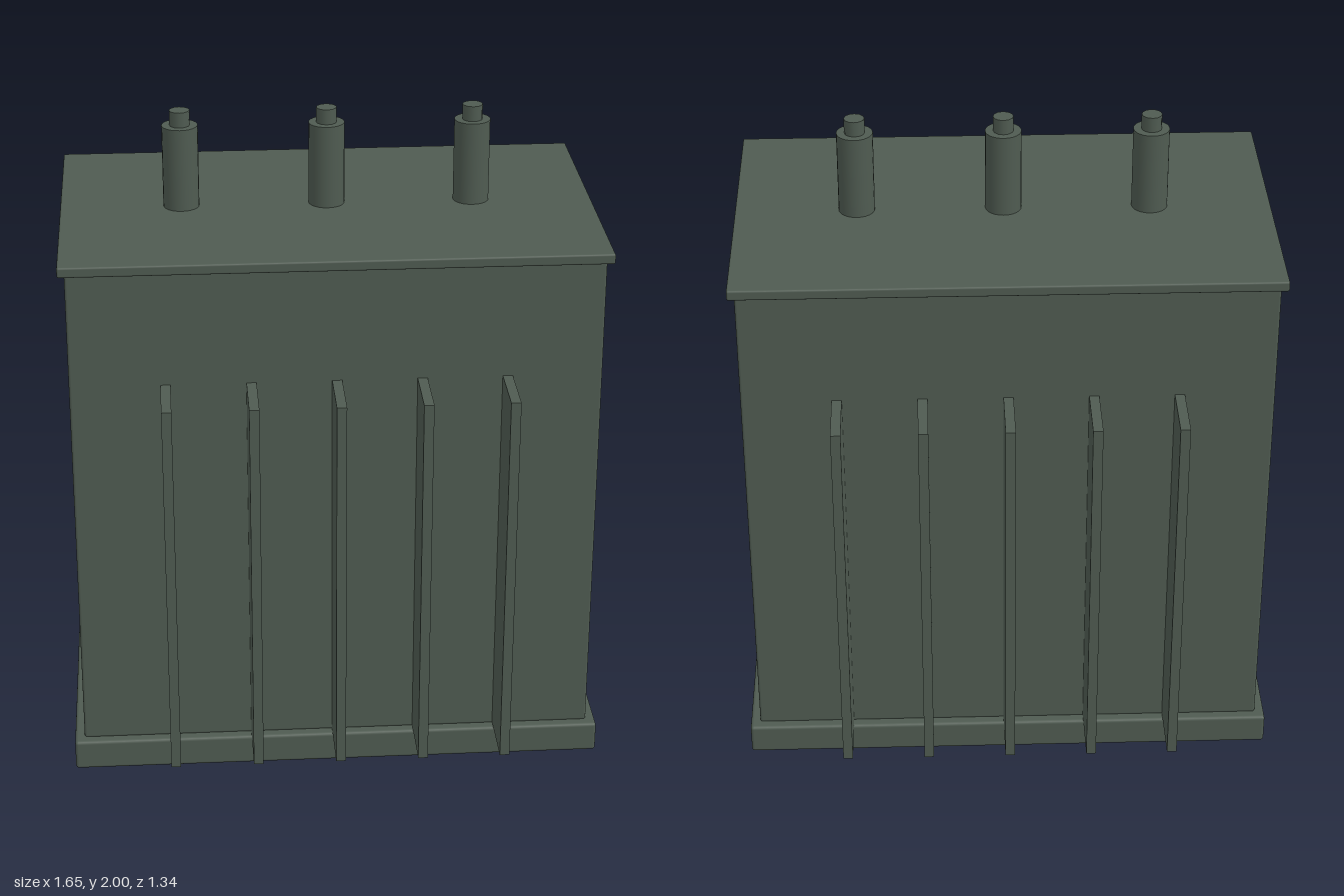
import * as THREE from 'three';
import { RoundedBoxGeometry } from 'three/addons/geometries/RoundedBoxGeometry.js';

export function createModel() {
  const group = new THREE.Group();
  group.name = 'transformer';
  const paint = new THREE.MeshStandardMaterial({ color: 0x4f5b51 });
  paint.name = 'grey green paint';

  const add = (name, geometry, x, y, z) => {
    const mesh = new THREE.Mesh(geometry, paint);
    mesh.name = name;
    mesh.position.set(x, y, z);
    group.add(mesh);
  };
  // Softened box spanning heights y0 to y1
  const slab = (name, width, depth, y0, y1, radius) =>
    add(name, new RoundedBoxGeometry(width, y1 - y0, depth, 2, radius), 0, (y0 + y1) / 2, 0);

  // Plinth, tank and overhanging lid
  slab('base', 1.65, 1.01, 0, 0.097, 0.01);
  slab('tank', 1.59, 0.95, 0.095, 1.665, 0.008);
  slab('lid', 1.63, 0.99, 1.663, 1.695, 0.006);

  // Cooling fins on the front and back
  const fin = new THREE.BoxGeometry(0.03, 1.207, 0.2);
  for (const side of [1, -1]) {
    for (let i = -2; i <= 2; i++) {
      add(side > 0 ? 'frontFin' : 'backFin', fin, i * 0.255, 0.7035, side * 0.57);
    }
  }

  // Three bushings, each with a narrow terminal on top
  const bushing = new THREE.CylinderGeometry(0.055, 0.055, 0.26, 24);
  const terminal = new THREE.CylinderGeometry(0.031, 0.031, 0.06, 12);
  for (const x of [-0.445, 0, 0.445]) {
    add('bushing', bushing, x, 1.823, 0);
    add('terminal', terminal, x, 1.97, 0);
  }
  return group;
}
